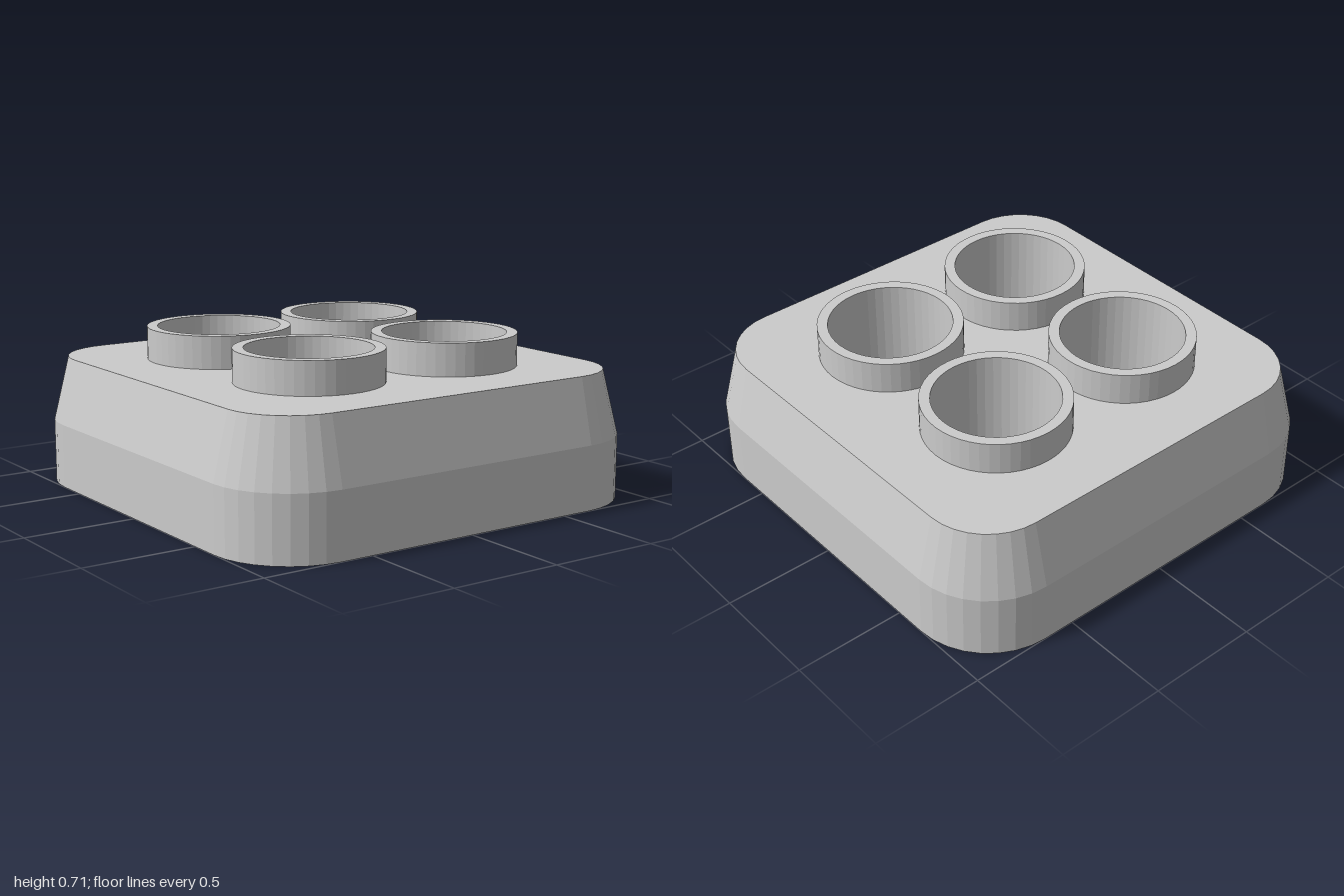
import * as THREE from 'three';

const HEIGHT = 0.57, SHOULDER = 0.285, RIM = 0.715, FLOOR = 0.14;
const CORNER = 0.643;   // centre of the corner arcs
const SPACING = 0.357;  // cup centre offset
const R_OUT = 0.32, R_IN = 0.273, CORNER_STEPS = 8;

// Counter-clockwise rounded square with the given corner radius
function outline(r) {
  const pts = [];
  [[1, 1], [-1, 1], [-1, -1], [1, -1]].forEach(([sx, sy], q) => {
    for (let i = 0; i <= CORNER_STEPS; i++) {
      const a = (q + i / CORNER_STEPS) * Math.PI / 2;
      pts.push(new THREE.Vector2(sx * CORNER + r * Math.cos(a), sy * CORNER + r * Math.sin(a)));
    }
  });
  return pts;
}

// Side walls lofted through a stack of [height, corner radius] sections
function loft(sections) {
  const pos = [], index = [];
  const n = outline(1).length;
  sections.forEach(([y, r]) => outline(r).forEach(p => pos.push(p.x, y, -p.y)));
  for (let s = 0; s < sections.length - 1; s++) {
    for (let i = 0; i < n; i++) {
      const a = s * n + i, b = s * n + (i + 1) % n;
      index.push(a, b, b + n, a, b + n, a + n);
    }
  }
  const geo = new THREE.BufferGeometry();
  geo.setAttribute('position', new THREE.Float32BufferAttribute(pos, 3));
  geo.setIndex(index);
  geo.computeVertexNormals();
  return geo;
}

export function createModel() {
  const group = new THREE.Group();
  const material = new THREE.MeshStandardMaterial({ color: 0xcccccc, flatShading: true });
  const add = (name, geo) => {
    const mesh = new THREE.Mesh(geo, material);
    mesh.name = name;
    group.add(mesh);
    return mesh;
  };
  const centres = [[-1, -1], [1, -1], [-1, 1], [1, 1]].map(([x, z]) => [x * SPACING, z * SPACING]);

  // Upright lower wall and tapered upper wall
  add('bodyWalls', loft([[0, 1 - CORNER], [SHOULDER, 1 - CORNER], [HEIGHT, 0.93 - CORNER]]));

  // Underside
  add('bodyBottom', new THREE.ShapeGeometry(new THREE.Shape(outline(1 - CORNER))).rotateX(Math.PI / 2));

  // Top deck, opened beneath each cup rim
  const deck = new THREE.Shape(outline(0.93 - CORNER));
  centres.forEach(([x, z]) => {
    deck.holes.push(new THREE.Path().absarc(x, -z, 0.3, 0, Math.PI * 2, true));
  });
  add('bodyTop', new THREE.ShapeGeometry(deck, 24).rotateX(-Math.PI / 2).translate(0, HEIGHT, 0));

  // Raised cups with wells sunk into the body
  const profile = [[R_OUT, HEIGHT], [R_OUT, RIM], [R_IN, RIM], [R_IN, FLOOR], [0, FLOOR]]
    .map(([x, y]) => new THREE.Vector2(x, y));
  const cup = new THREE.LatheGeometry(profile, 48);
  centres.forEach(([x, z]) => add('cup', cup).position.set(x, 0, z));

  return group;
}
